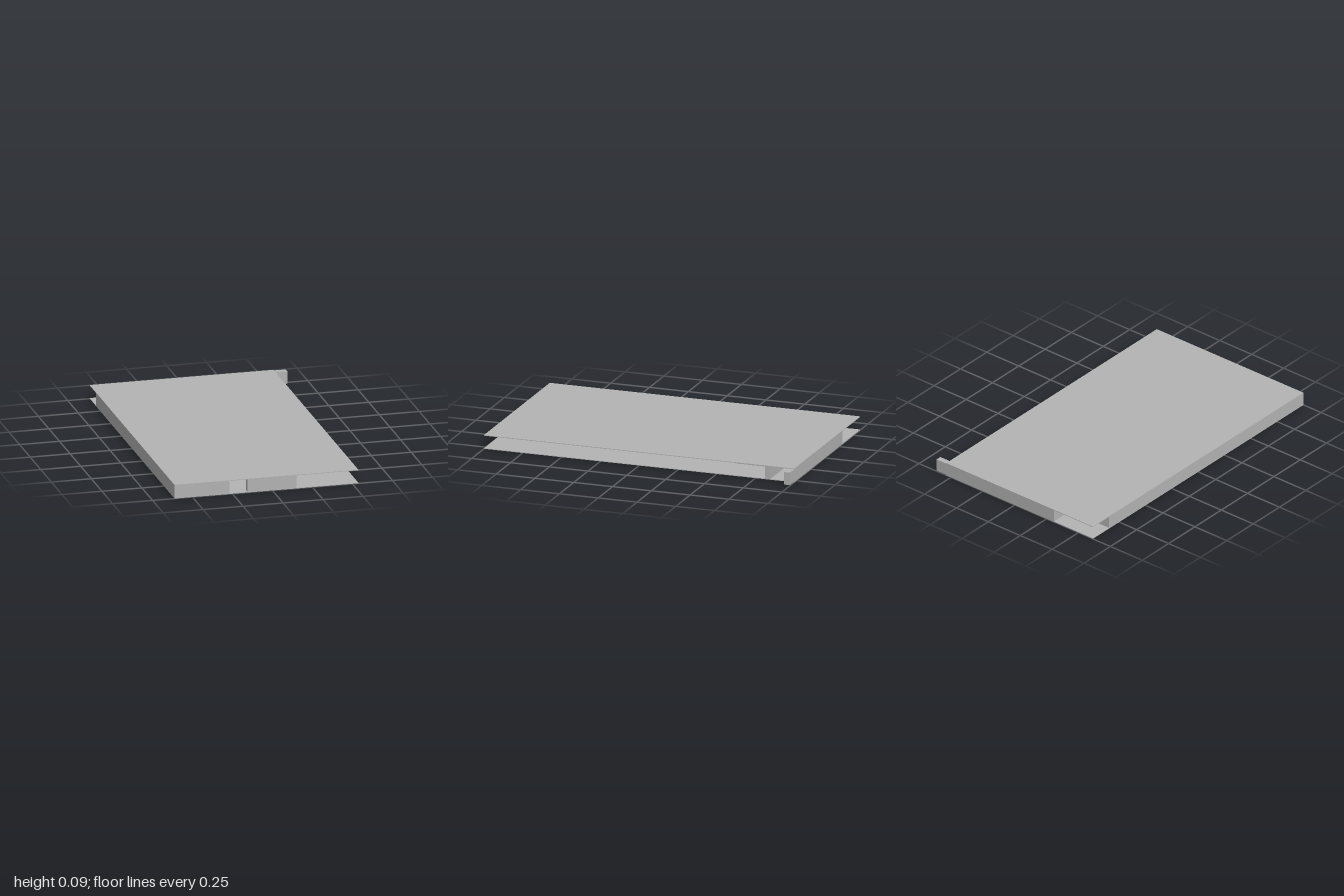
import * as THREE from 'three';

export function createModel() {
  const model = new THREE.Group();
  const grey = new THREE.MeshStandardMaterial({ color: 0xb3b3b3 });
  grey.name = 'plain grey';

  // Box given by its extents on each axis
  function block(name, [x0, x1], [y0, y1], [z0, z1]) {
    const mesh = new THREE.Mesh(new THREE.BoxGeometry(x1 - x0, y1 - y0, z1 - z0), grey);
    mesh.position.set((x0 + x1) / 2, (y0 + y1) / 2, (z0 + z1) / 2);
    mesh.name = name;
    model.add(mesh);
  }

  const height = 0.087, slab = 0.004, t = 0.035;
  const left = -0.613, right = 0.537;

  // Thin floor and ceiling slabs
  block('floor', [left, right], [0, slab], [-1, 1]);
  block('ceiling', [left, right], [height - slab, height], [-1, 1]);

  // Walls standing between the slabs: name, x extent, z extent
  const walls = [
    ['outerSideWall', [left, left + t], [-0.845, 1]],
    ['frontWallSide', [left + t, -0.27], [1 - t, 1]],
    ['frontWallMiddle', [-0.155, 0.15], [1 - t, 1]],
    ['backWall', [-0.308, 0.613], [-1, -0.963]],
    ['corridorWall', [left + t, right], [-0.845, -0.81]],
    ['alcoveWall', [-0.308, -0.308 + t], [-0.963, -0.845]],
    ['longPartition', [0.15 - t, 0.15], [-0.81, 1 - t]],
    ['shortPartition', [0.27, 0.305], [-0.81, -0.535]],
    ['entrancePartition', [-0.305, -0.27], [0.4, 0.89]],
  ];
  for (const [name, x, z] of walls) block(name, x, [slab, height - slab], z);

  return model;
}
